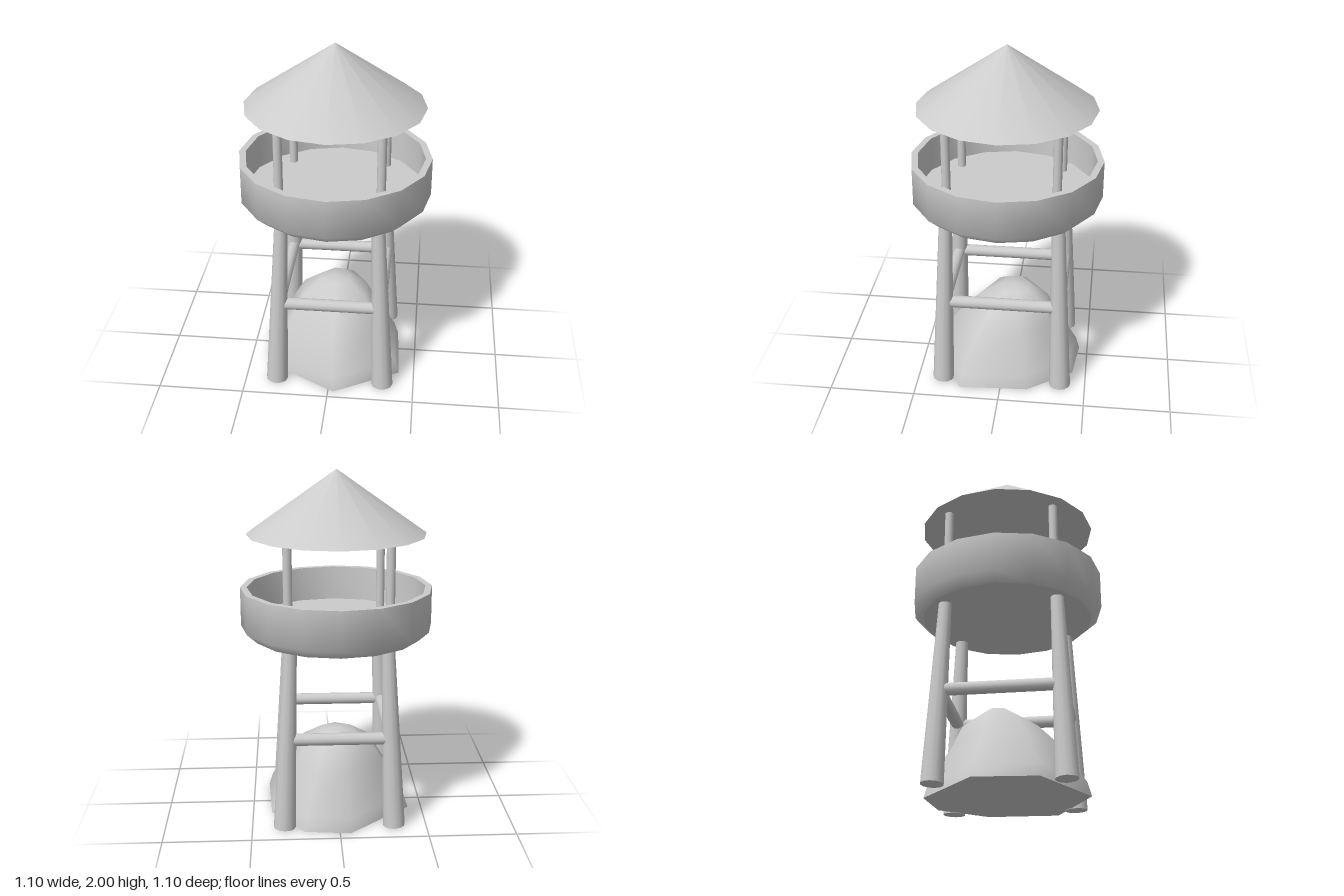
import * as THREE from 'three';
import { toCreasedNormals } from 'three/addons/utils/BufferGeometryUtils.js';

const grey = new THREE.MeshStandardMaterial({ color: 0xcccccc });
const SIDES = 16;

export function createModel() {
  const tower = new THREE.Group();
  tower.name = 'watchtower';

  const add = (name, geometry) => {
    const mesh = new THREE.Mesh(geometry, grey);
    mesh.name = name;
    tower.add(mesh);
    return mesh;
  };

  // Round beam from point a to point b, tapering from ra to rb
  const beam = (name, a, b, ra, rb = ra) => {
    const from = new THREE.Vector3(...a), to = new THREE.Vector3(...b);
    const dir = to.clone().sub(from);
    const mesh = add(name, new THREE.CylinderGeometry(rb, ra, dir.length(), 12));
    mesh.position.copy(from).lerp(to, 0.5);
    mesh.quaternion.setFromUnitVectors(new THREE.Vector3(0, 1, 0), dir.normalize());
  };

  const lathe = (points) =>
    new THREE.LatheGeometry(points.map(([r, y]) => new THREE.Vector2(r, y)), SIDES);

  // Conical roof
  add('roof', new THREE.ConeGeometry(0.51, 0.36, SIDES)).position.y = 1.82;

  // Platform: chamfered parapet with rim and floor, and the flat underside
  add('platform', toCreasedNormals(lathe([
    [0.49, 1.055], [0.55, 1.11], [0.55, 1.333], [0.512, 1.333], [0.512, 1.13], [0, 1.13],
  ]), 0.9));
  add('platformUnderside', lathe([[0, 1.055], [0.49, 1.055]]));

  // Splayed legs and roof posts at the four corners
  const corners = [[1, 1], [1, -1], [-1, -1], [-1, 1]];
  for (const [sx, sz] of corners) {
    beam('leg', [sx * 0.315, 0, sz * 0.35], [sx * 0.27, 1.07, sz * 0.316], 0.063, 0.037);
    beam('roofPost', [sx * 0.28, 1.1, sz * 0.304], [sx * 0.28, 1.645, sz * 0.304], 0.025);
  }

  // Horizontal braces joining neighbouring legs
  corners.forEach(([sx, sz], i) => {
    const [tx, tz] = corners[(i + 1) % 4];
    beam('brace', [sx * 0.293, 0.53, sz * 0.333], [tx * 0.293, 0.53, tz * 0.333], 0.035);
  });

  add('boulder', boulderGeometry());
  return tower;
}

// Boulder lofted from an irregular foot outline through shrinking rings
function boulderGeometry() {
  const foot = [[0.03, 0.455], [0.41, 0.24], [0.39, -0.16], [0.2, -0.42],
    [-0.06, -0.45], [-0.42, -0.13], [-0.39, 0.22]];
  // [height, x scale, z scale, z shift]
  const rings = [[0, 1, 1, 0], [0.08, 0.94, 0.95, 0], [0.3, 0.63, 0.64, -0.01],
    [0.41, 0.47, 0.46, -0.04], [0.485, 0.22, 0.2, -0.05]];
  const n = foot.length;
  const positions = [], index = [];

  for (const [y, kx, kz, shift] of rings)
    for (const [x, z] of foot) positions.push(x * kx, y, z * kz + shift);
  for (let r = 0; r < rings.length - 1; r++)
    for (let i = 0; i < n; i++) {
      const a = r * n + i, b = r * n + (i + 1) % n;
      index.push(a, b, b + n, a, b + n, a + n);
    }

  // Peak and flat base
  const peak = positions.length / 3, top = (rings.length - 1) * n;
  positions.push(0, 0.5, -0.05, 0, 0, 0);
  for (let i = 0; i < n; i++) {
    const j = (i + 1) % n;
    index.push(top + i, top + j, peak, j, i, peak + 1);
  }

  const geometry = new THREE.BufferGeometry();
  geometry.setAttribute('position', new THREE.Float32BufferAttribute(positions, 3));
  geometry.setIndex(index);
  return toCreasedNormals(geometry, 1.1);
}
